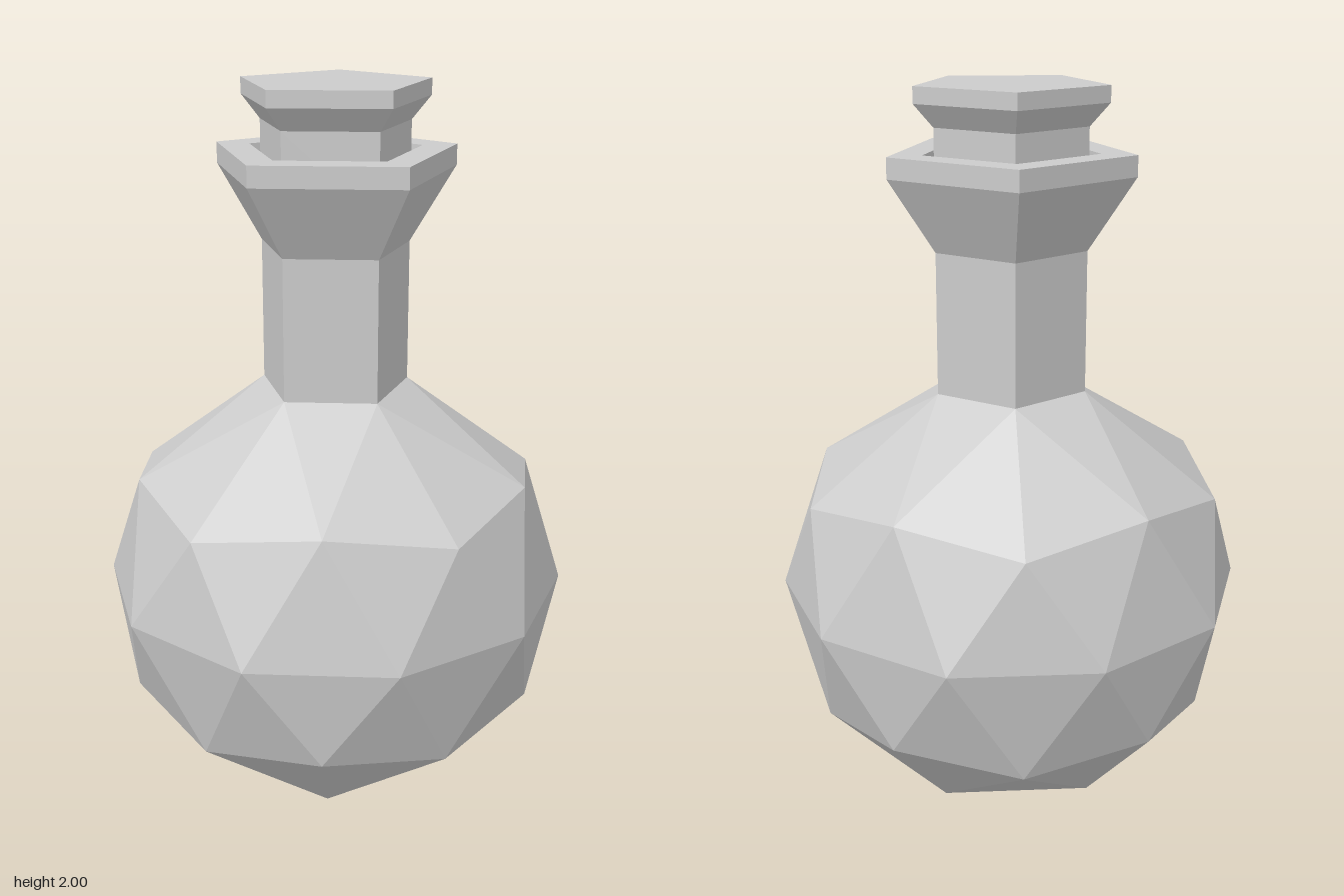
import * as THREE from 'three';

const SPIN = THREE.MathUtils.degToRad(7); // shared heading of all five-sided rings
const R = 0.635, CENTRE_Y = 0.64, NECK_R = 0.207, NECK_Y = 1.2;
const material = new THREE.MeshStandardMaterial({ color: 0xcccccc, flatShading: true, side: THREE.DoubleSide });

// Five-sided turned part from a [radius, height] profile
function pentagonLathe(name, profile) {
  const points = profile.map(([r, y]) => new THREE.Vector2(r, y));
  const mesh = new THREE.Mesh(new THREE.LatheGeometry(points, 5, Math.PI / 2 - SPIN), material);
  mesh.name = name;
  return mesh;
}

// Icosphere standing on a pole, with its top cap opened and drawn in to meet the neck
function flaskBody() {
  const ico = new THREE.IcosahedronGeometry(R, 1);
  const pole = new THREE.Vector3(-1, (1 + Math.sqrt(5)) / 2, 0).normalize();
  ico.applyQuaternion(new THREE.Quaternion().setFromUnitVectors(pole, new THREE.Vector3(0, 1, 0)));

  // Turn an upper corner of the icosahedron to the shared heading
  const pos = ico.attributes.position;
  for (let i = 0; i < pos.count; i++) {
    if (Math.abs(pos.getY(i) - R / Math.sqrt(5)) < 0.01) {
      ico.rotateY(Math.atan2(pos.getZ(i), pos.getX(i)) - SPIN);
      break;
    }
  }

  const kept = [];
  const v = new THREE.Vector3();
  for (let t = 0; t < pos.count; t += 3) {
    const tri = [];
    let isCap = false;
    for (let k = 0; k < 3; k++) {
      v.fromBufferAttribute(pos, t + k);
      if (v.y > 0.95 * R) isCap = true;
      if (v.y > 0.7 * R) {
        const s = NECK_R / Math.hypot(v.x, v.z);
        v.set(v.x * s, NECK_Y - CENTRE_Y, v.z * s);
      }
      tri.push(v.x, v.y + CENTRE_Y, v.z);
    }
    if (!isCap) kept.push(...tri);
  }
  const geometry = new THREE.BufferGeometry();
  geometry.setAttribute('position', new THREE.Float32BufferAttribute(kept, 3));
  geometry.computeVertexNormals();
  const mesh = new THREE.Mesh(geometry, material);
  mesh.name = 'flaskBody';
  return mesh;
}

export function createModel() {
  const group = new THREE.Group();
  group.name = 'flask';
  group.add(flaskBody());

  // Neck, flared lip and the mouth recess
  group.add(pentagonLathe('neckAndLip', [
    [NECK_R, NECK_Y], [NECK_R, 1.58], [0.333, 1.775], [0.333, 1.83],
    [0.238, 1.83], [0.235, 1.77], [0.19, 1.6], [0, 1.6],
  ]));

  // Stopper with a flared head
  group.add(pentagonLathe('stopper', [
    [0, 1.68], [NECK_R, 1.68], [NECK_R, 1.897], [0.26, 1.957], [0.26, 2], [0, 2],
  ]));
  return group;
}
